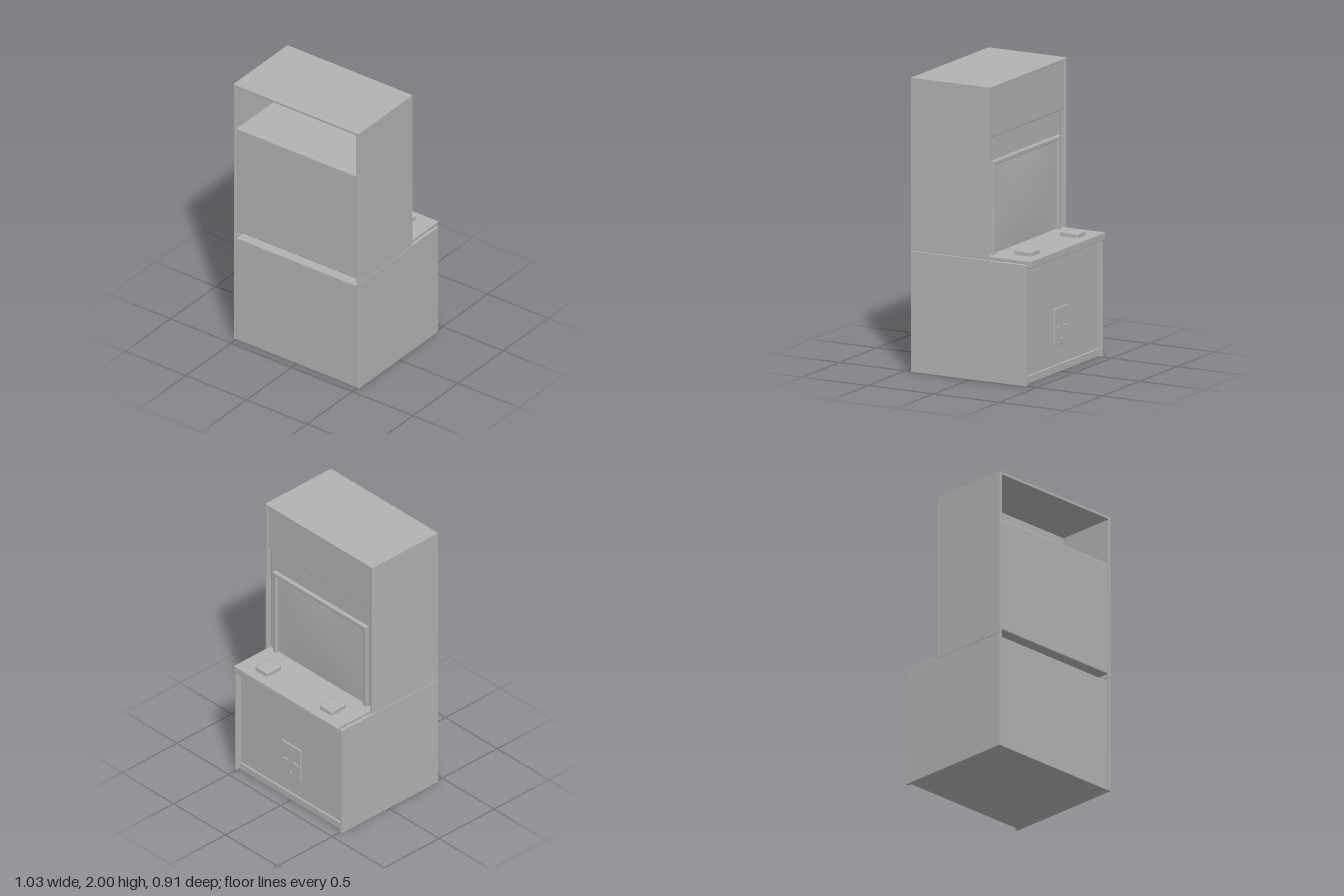
import * as THREE from 'three';
import { RoundedBoxGeometry } from 'three/addons/geometries/RoundedBoxGeometry.js';

export function createModel() {
  const model = new THREE.Group();
  const grey = new THREE.MeshStandardMaterial({ color: 0xb2b2b2 });

  function add(name, geometry) {
    const mesh = new THREE.Mesh(geometry, grey);
    mesh.name = name;
    model.add(mesh);
    return mesh;
  }

  // Box given by its limits on each axis, with softened edges if r > 0
  function box(name, [x0, x1], [y0, y1], [z0, z1], r = 0) {
    const size = [x1 - x0, y1 - y0, z1 - z0];
    const geometry = r ? new RoundedBoxGeometry(...size, 2, r) : new THREE.BoxGeometry(...size);
    add(name, geometry).position.set((x0 + x1) / 2, (y0 + y1) / 2, (z0 + z1) / 2);
  }

  // Extrusion between two z limits with a small bevel kept inside the outline
  function extrude(name, shape, z0, z1, bevel) {
    const geometry = new THREE.ExtrudeGeometry(shape, {
      depth: z1 - z0 - 2 * bevel, bevelEnabled: true, bevelSegments: 2,
      bevelThickness: bevel, bevelSize: bevel, bevelOffset: -bevel,
    });
    geometry.translate(0, 0, z0 + bevel);
    add(name, geometry);
  }

  const polygon = (points, Type = THREE.Shape) =>
    new Type(points.map(([x, y]) => new THREE.Vector2(x, y)));
  const rectangle = (w, y0, y1) => [[-w, y0], [w, y0], [w, y1], [-w, y1]];

  // Upper shell: both sides and the top in one arch
  extrude('upperShell', polygon([
    [-0.517, 0.826], [-0.497, 0.826], [-0.497, 1.98], [0.497, 1.98],
    [0.497, 0.826], [0.517, 0.826], [0.517, 2], [-0.517, 2],
  ]), -0.15, 0.45, 0.004);

  // Upper body, sign box and the screen housing that hangs below the body
  box('upperBody', [-0.498, 0.498], [0.85, 1.66], [-0.12, 0.445], 0.01);
  box('signBox', [-0.498, 0.498], [1.65, 1.981], [-0.142, 0.03], 0.006);
  box('screenHousing', [-0.42, 0.42], [0.815, 1], [-0.115, 0.1]);

  // Screen frame
  const frame = polygon(rectangle(0.45, 0.815, 1.485));
  frame.holes.push(polygon(rectangle(0.42, 0.845, 1.455), THREE.Path));
  extrude('screenFrame', frame, -0.146, -0.115, 0.006);

  // Gently bulging screen
  const screen = new THREE.PlaneGeometry(0.85, 0.62, 16, 12);
  const p = screen.attributes.position;
  for (let i = 0; i < p.count; i++) {
    const u = p.getX(i) / 0.425, v = p.getY(i) / 0.31;
    p.setZ(i, 0.015 * (1 - u * u) * (1 - v * v));
  }
  screen.computeVertexNormals();
  const screenMesh = add('screen', screen);
  screenMesh.rotation.y = Math.PI;
  screenMesh.position.set(0, 1.15, -0.122);

  // Lower cabinet
  box('lowerBody', [-0.498, 0.498], [0, 0.8], [-0.393, 0.445], 0.006);
  box('kickPlate', [-0.497, 0.497], [0.001, 0.055], [-0.405, -0.38], 0.004);

  // Control deck with its hanging lip
  box('controlDeck', [-0.5, 0.5], [0.826, 0.85], [-0.455, -0.115], 0.004);
  box('deckLip', [-0.5, 0.5], [0.8, 0.85], [-0.455, -0.43], 0.004);

  // Lower sides and control pads, mirrored
  for (const s of [-1, 1]) {
    const side = s < 0 ? 'right' : 'left';
    const span = (a, b) => (s < 0 ? [-b, -a] : [a, b]);
    box(side + 'LowerSide', span(0.497, 0.517), [0, 0.825], [-0.43, 0.45], 0.004);
    box(side + 'ControlPad', span(0.25, 0.37), [0.835, 0.885], [-0.385, -0.25], 0.015);
    box(side + 'CoinSlot', span(0.022, 0.07), [0.295, 0.315], [-0.412, -0.4], 0.003);
  }

  // Coin door and its round lock
  box('coinDoor', [-0.09, 0.09], [0.185, 0.438], [-0.404, -0.385], 0.004);
  const lock = add('coinDoorLock', new THREE.CylinderGeometry(0.012, 0.012, 0.016, 20));
  lock.rotation.x = Math.PI / 2;
  lock.position.set(0, 0.222, -0.404);

  return model;
}
